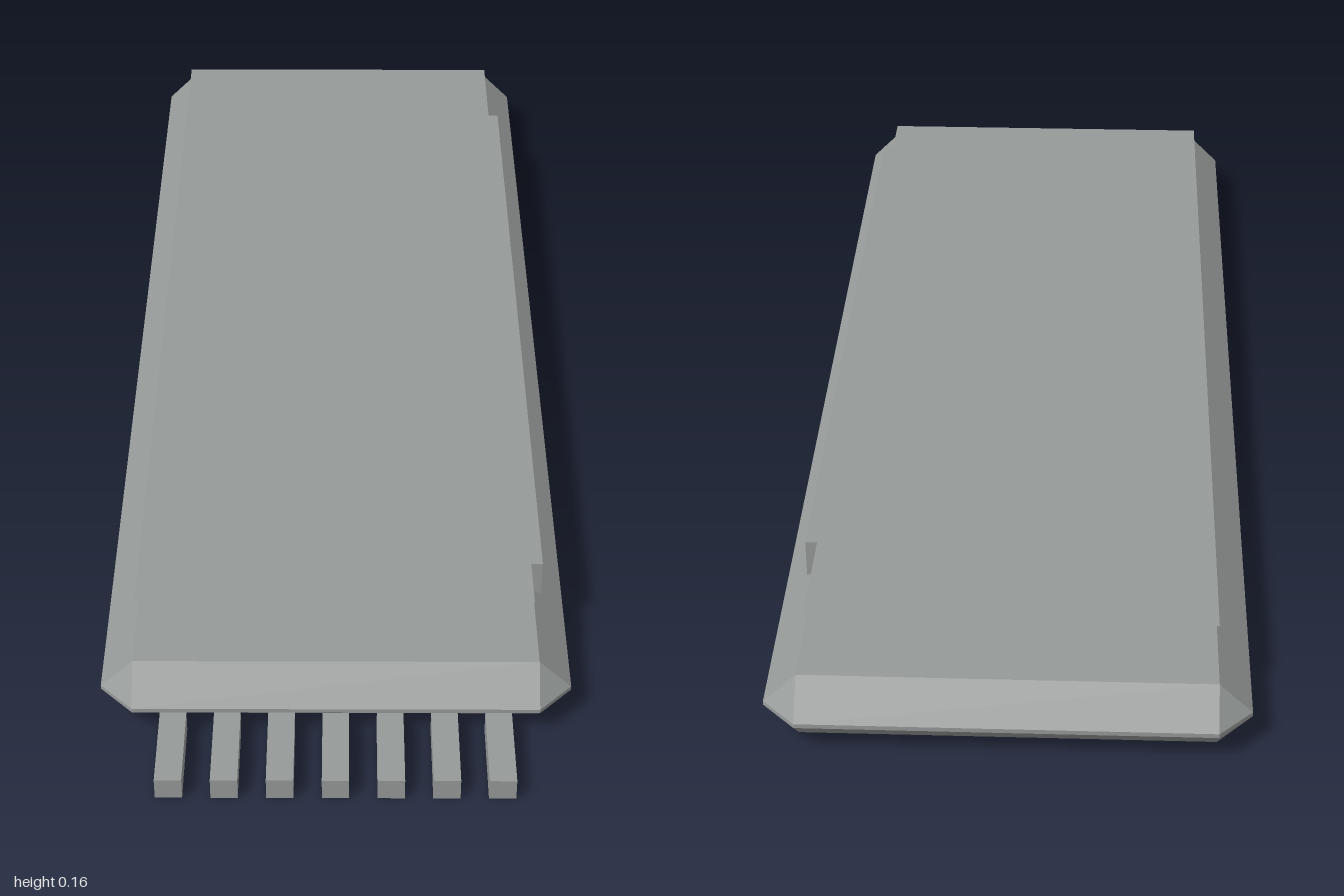
import * as THREE from 'three';
import { ConvexGeometry } from 'three/addons/geometries/ConvexGeometry.js';

export function createModel() {
  const model = new THREE.Group();
  const grey = new THREE.MeshStandardMaterial({ color: 0x969a98 });
  grey.name = 'grey';
  const greySheet = grey.clone();
  greySheet.side = THREE.DoubleSide;

  function add(name, geometry, x, y, z, material = grey) {
    const mesh = new THREE.Mesh(geometry, material);
    mesh.name = name;
    mesh.position.set(x, y, z);
    model.add(mesh);
    return mesh;
  }

  // Slab with all edges and corners chamfered: hull of three nested boxes
  const hx = 0.355, hz = 0.9375, h = 0.107, c = 0.05;
  const points = [];
  for (const sx of [-1, 1]) for (const sz of [-1, 1]) {
    for (const y of [0, h]) points.push(new THREE.Vector3(sx * (hx - c), y, sz * (hz - c)));
    for (const y of [c, h - c]) {
      points.push(new THREE.Vector3(sx * hx, y, sz * (hz - c)));
      points.push(new THREE.Vector3(sx * (hx - c), y, sz * hz));
    }
  }
  add('board', new ConvexGeometry(points), 0, 0, -0.0625);

  // Raised display block, offset towards the left
  add('displayBlock', new THREE.BoxGeometry(0.557, 0.06, 1.36), 0.0395, 0.129, -0.018);

  // Thin sheet covering the block
  const sheet = new THREE.PlaneGeometry(0.605, 1.635).rotateX(-Math.PI / 2);
  add('screenSheet', sheet, -0.0025, 0.16, -0.065, greySheet);

  // Row of connector pins at the front
  const pin = new THREE.BoxGeometry(0.04, 0.036, 0.14);
  for (let i = -3; i <= 3; i++) add('pin', pin, i * 0.0815, 0.018, 0.93);

  return model;
}
